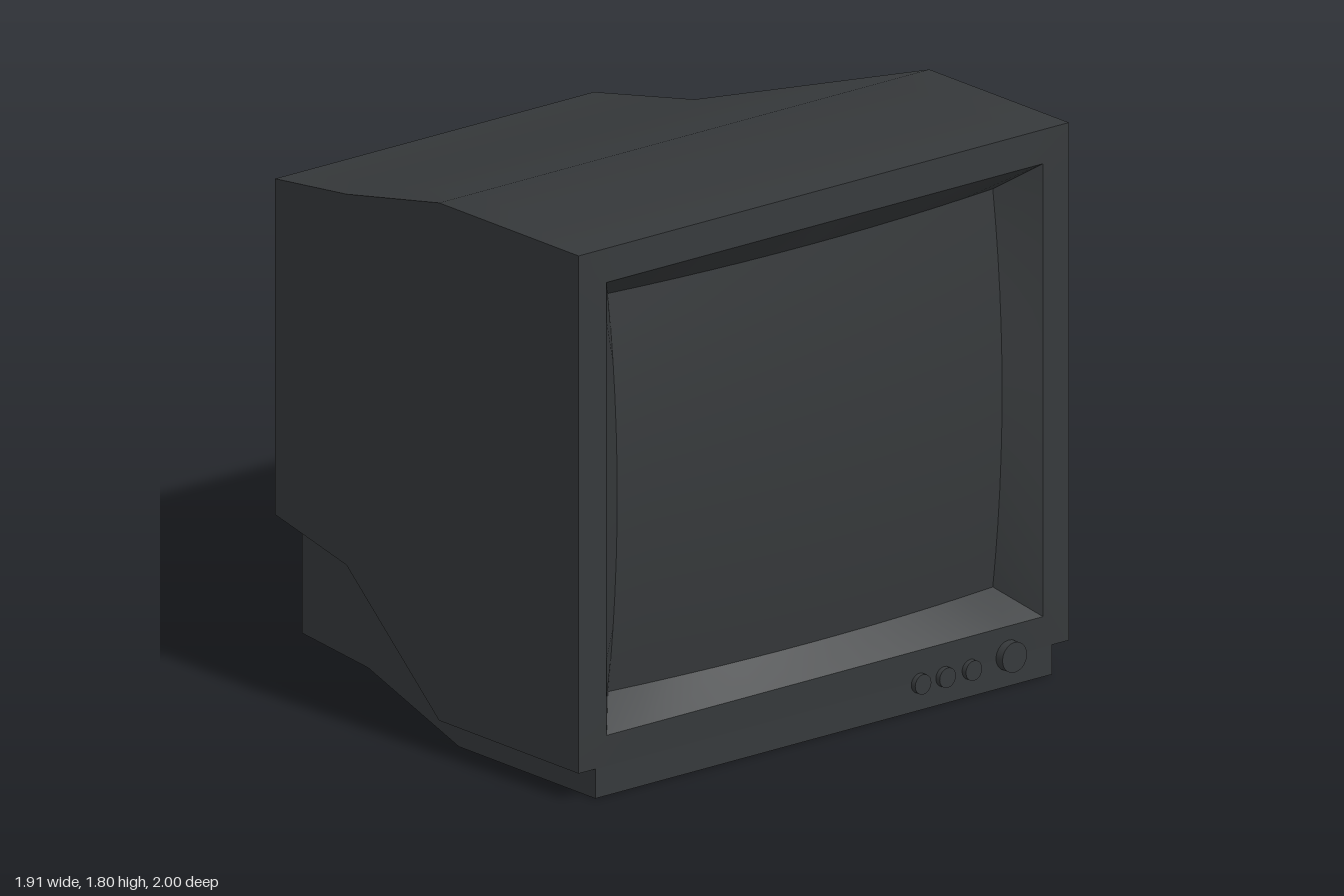
import * as THREE from 'three';
import { toCreasedNormals } from 'three/addons/utils/BufferGeometryUtils.js';

const N = 12; // segments along each side of a rectangular section
const FRONT = 0.923;
const SCREEN = { y0: 0.29, y1: 1.6, h: 0.785 };

// Depth of the bulging glass at a point of the screen
function glassX(y, z) {
  const u = z / SCREEN.h;
  const v = (y - (SCREEN.y0 + SCREEN.y1) / 2) / ((SCREEN.y1 - SCREEN.y0) / 2);
  return 0.81 + 0.045 * (1 - u * u) + 0.045 * (1 - v * v);
}

// Rectangular ring in the yz plane; x is a number or a function of y and z
function ring([x, y0, y1, h]) {
  const corners = [[y0, h], [y0, -h], [y1, -h], [y1, h]];
  const points = [];
  corners.forEach(([ya, za], i) => {
    const [yb, zb] = corners[(i + 1) % 4];
    for (let k = 0; k < N; k++) {
      const t = k / N, y = ya + (yb - ya) * t, z = za + (zb - za) * t;
      points.push([typeof x === 'function' ? x(y, z) : x, y, z]);
    }
  });
  return points;
}

// Skin through a row of rectangular sections
function loft(sections) {
  const rings = sections.map(ring), count = 4 * N, index = [];
  for (let r = 0; r < rings.length - 1; r++) {
    for (let i = 0; i < count; i++) {
      const j = (i + 1) % count, a = r * count, b = a + count;
      index.push(a + i, a + j, b + j, a + i, b + j, b + i);
    }
  }
  const geometry = new THREE.BufferGeometry();
  geometry.setAttribute('position', new THREE.Float32BufferAttribute(rings.flat(2), 3));
  geometry.setIndex(index);
  return toCreasedNormals(geometry, 0.5);
}

export function createModel() {
  const group = new THREE.Group();
  const material = new THREE.MeshStandardMaterial({ color: 0x36393b });
  const add = (name, geometry) => {
    const mesh = new THREE.Mesh(geometry, material);
    mesh.name = name;
    group.add(mesh);
    return mesh;
  };

  // Tapered casing with a closed back
  add('casing', loft([
    [-0.955, 0.94, 0.94, 0],
    [-0.955, 0.385, 1.49, 0.65],
    [-0.54, 0.34, 1.56, 0.71],
    [0.25, 0.097, 1.8, 1],
    [FRONT, 0.097, 1.8, 1],
  ]));

  // Front frame and sloped recess down to the glass
  add('bezel', loft([
    [FRONT, 0.097, 1.8, 1],
    [FRONT + 0.005, 0.2, 1.69, 0.89],
    [glassX, SCREEN.y0, SCREEN.y1, SCREEN.h],
  ]));

  // Bulging glass
  const glass = new THREE.PlaneGeometry(2 * SCREEN.h, SCREEN.y1 - SCREEN.y0, N, N);
  glass.rotateY(Math.PI / 2).translate(0, (SCREEN.y0 + SCREEN.y1) / 2, 0);
  const p = glass.attributes.position;
  for (let i = 0; i < p.count; i++) p.setX(i, glassX(p.getY(i), p.getZ(i)));
  glass.computeVertexNormals();
  add('screen', glass);

  // Base, set in from the casing and rising to meet its underside
  add('base', loft([
    [-0.89, 0.19, 0.19, 0],
    [-0.89, 0, 0.378, 0.595],
    [-0.5, 0, 0.328, 0.655],
    [0.265, 0, 0.097, 0.932],
    [FRONT, 0, 0.097, 0.932],
    [FRONT, 0.05, 0.05, 0],
  ]));

  // Control knobs: three small and one large
  const knobs = [[-0.39, 0.09, 0.033, 0.942], [-0.49, 0.09, 0.033, 0.942],
    [-0.597, 0.09, 0.033, 0.942], [-0.752, 0.103, 0.05, 0.955]];
  for (const [z, y, radius, tip] of knobs) {
    const length = tip - 0.9;
    const knob = add('knob', new THREE.CylinderGeometry(radius, radius, length, 20));
    knob.rotation.z = -Math.PI / 2;
    knob.position.set(tip - length / 2, y, z);
  }

  return group;
}
